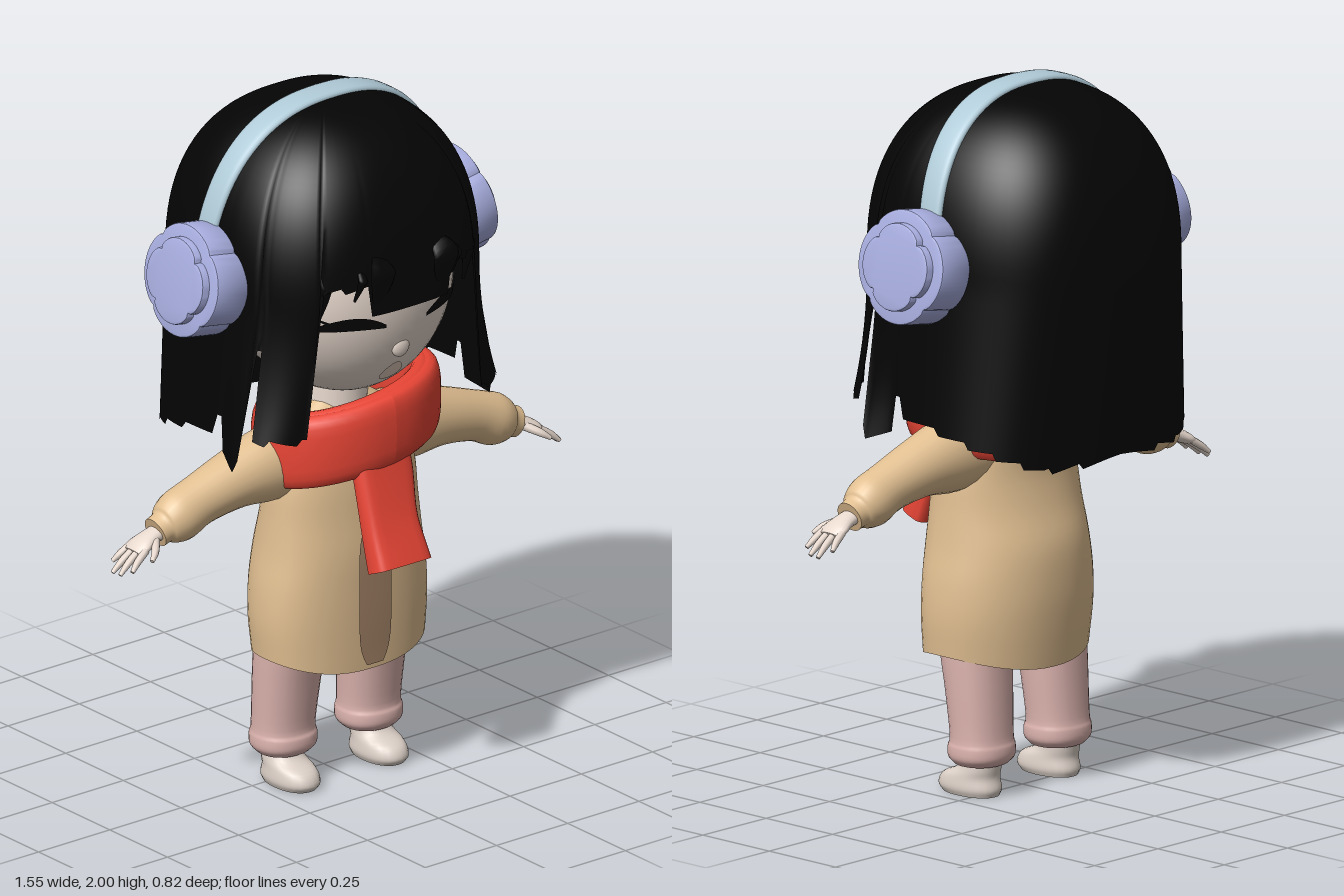
import * as THREE from 'three';
import { toCreasedNormals } from 'three/addons/utils/BufferGeometryUtils.js';

const mat = (name, color, double) => {
  const m = new THREE.MeshStandardMaterial({ color });
  m.name = name;
  if (double) m.side = THREE.DoubleSide;
  return m;
};
const sp = (v, e) => Math.sign(v) * Math.abs(v) ** e;

// Surface through a list of rings (each a list of [x, y, z]), optionally capped
function loft(rings, capped = true) {
  const n = rings[0].length, pos = rings.flat(2), idx = [];
  for (let i = 0; i < rings.length - 1; i++) for (let j = 0; j < n; j++) {
    const k = (j + 1) % n, a = i * n, b = a + n;
    idx.push(a + j, a + k, b + k, a + j, b + k, b + j);
  }
  if (capped) [rings[0], rings[rings.length - 1]].forEach((ring, end) => {
    const base = pos.length / 3;
    const c = [0, 1, 2].map(k => ring.reduce((s, p) => s + p[k], 0) / n);
    pos.push(...ring.flat(), ...c);
    for (let j = 0; j < n; j++) {
      const k = (j + 1) % n;
      idx.push(base + n, base + (end ? j : k), base + (end ? k : j));
    }
  });
  const g = new THREE.BufferGeometry();
  g.setAttribute('position', new THREE.Float32BufferAttribute(pos, 3));
  g.setIndex(idx);
  g.computeVertexNormals();
  return g;
}

// Smoothly resample rows of numbers
function smooth(rows, k = 4) {
  const w = rows[0].length;
  const f = new THREE.CubicInterpolant(rows.map((_, i) => i), rows.flat(), w, new Float32Array(w));
  return Array.from({ length: (rows.length - 1) * k + 1 }, (_, i) => Array.from(f.evaluate(i / k)));
}

// Horizontal sections [y, centre x, centre z, half width, half depth], bottom to top
const sections = (rows, n = 28, e = 1) => loft(smooth(rows).map(([y, cx, cz, w, d]) =>
  Array.from({ length: n }, (_, j) => {
    const a = j / n * Math.PI * 2;
    return [cx + w * sp(Math.sin(a), e), y, cz + d * sp(Math.cos(a), e)];
  })));

// Sweep along points [x, y, z, radius across, radius in z]
function sweep(points, n = 16, e = 1, k = 4) {
  const rows = smooth(points, k), vec = r => new THREE.Vector3(r[0], r[1], r[2]);
  return loft(rows.map((r, i) => {
    const t = vec(rows[Math.min(i + 1, rows.length - 1)]).sub(vec(rows[Math.max(i - 1, 0)])).normalize();
    const side = new THREE.Vector3(0, 0, 1).cross(t).normalize();
    const other = t.clone().cross(side);
    return Array.from({ length: n }, (_, j) => {
      const a = j / n * Math.PI * 2;
      return vec(r).addScaledVector(side, r[3] * sp(Math.cos(a), e))
        .addScaledVector(other, r[4] * sp(Math.sin(a), e)).toArray();
    });
  }));
}

// Move every vertex by a rule
function bend(g, rule) {
  const p = g.attributes.position;
  for (let i = 0; i < p.count; i++) p.setXYZ(i, ...rule(p.getX(i), p.getY(i), p.getZ(i)));
  g.computeVertexNormals();
  return g;
}

// Hair surface: dome above y = 1.5, below it a fall whose side locks flare outward
const hairSize = y => {
  const u = Math.min(1, Math.max(0, (y - 1.5) / 0.485));
  const s = Math.max(0, (1.5 - y) / 0.45), k = (1 - u ** 2.4) ** (1 / 2.4);
  return [k * (0.4 + 0.03 * s), k * (0.387 - 0.045 * s), k * (0.41 - 0.035 * s), s];
};
const hairPoint = (a, y) => {
  const [w, f, b, s] = hairSize(y), c = Math.cos(a);
  const e = c > 0 ? 0.78 : 0.8 - 0.07 * s;
  const lock = Math.max(0, Math.sin((Math.acos(c) - 0.52) / 0.87 * Math.PI));
  const flare = c > 0.17 && c < 0.87 ? 1 + 0.16 * s * s * lock : 1;
  return [flare * w * sp(Math.sin(a), e), y, flare * (c > 0 ? f : b) * sp(c, e)];
};
// Lower edge of the hair by angle from the front
const hairEdge = deg => {
  const a = deg > 180 ? 360 - deg : deg;
  const tooth = 0.02 * ((a % 14) / 14);
  if (a < 16) return 1.475;
  if (a < 37) return 1.57 - tooth;
  if (a < 64) return 1.12 + tooth;
  if (a < 68) return 1.38;
  if (a < 82) return 1.03 + tooth * 2;
  if (a < 85) return 1.16;
  return 1.1 - 0.12 * Math.min(1, (a - 85) / 65) + tooth;
};

// Coat rows: y, half width, front z, back z; flatter in front, rounder behind
const coatRows = [
  [0.4, 0.262, 0.22, -0.125], [0.5, 0.27, 0.222, -0.14], [0.6, 0.265, 0.222, -0.143],
  [0.7, 0.25, 0.22, -0.135], [0.8, 0.24, 0.21, -0.105], [0.9, 0.232, 0.2, -0.085],
  [1.0, 0.205, 0.18, -0.085], [1.07, 0.16, 0.15, -0.065], [1.12, 0.09, 0.11, -0.02]];
const coatSize = new THREE.CubicInterpolant(coatRows.map(r => r[0]),
  coatRows.flatMap(r => r.slice(1)), 3, new Float32Array(3));
const COAT_Z = 0.07, COAT_E = 0.85;

// Face surface, flatter than a sphere
const faceZ = (x, y) =>
  0.05 + 0.315 * Math.max(0, 1 - (x / 0.31) ** 2 - ((y - 1.5) / 0.35) ** 2) ** 0.4;

export function createModel() {
  const skin = mat('skin', 0xeadbd0), coat = mat('coat', 0xe2c092, true), trousers = mat('trousers', 0xdcb3ae);
  const red = mat('scarf red', 0xe84535), blue = mat('band blue', 0xb0cbd8), lilac = mat('muff lilac', 0xaab0e2);
  const shoeMat = mat('shoe', 0xddd1c8), black = mat('hair black', 0x040404, true);
  const brown = mat('coat stripe', 0xa8876a, true), lip = mat('mouth', 0xe6d0c0, true);
  const model = new THREE.Group();
  model.name = 'girl';
  const add = (name, g, m, parent = model) => {
    const mesh = new THREE.Mesh(g, m);
    mesh.name = name;
    parent.add(mesh);
    return mesh;
  };

  // Head and face
  add('head', bend(new THREE.SphereGeometry(1, 48, 36), (x, y, z) =>
    [x * 0.31, 1.5 + y * 0.35, 0.05 + 0.315 * sp(z, 0.8)]), skin);
  add('nose', new THREE.SphereGeometry(1, 16, 10).scale(0.03, 0.03, 0.014)
    .translate(0, 1.34, faceZ(0, 1.34) - 0.004), skin);
  add('neck', new THREE.CylinderGeometry(0.09, 0.1, 0.2, 20).translate(0, 1.14, 0.04), skin);
  add('mouth', bend(new THREE.CircleGeometry(1, 24), (u, v) => {
    const x = u * (0.035 - 0.01 * v), y = 1.258 + v * 0.032;
    return [x, y, faceZ(x, y) + 0.005];
  }), lip);

  // Hair shell, built from the lower edge up to the crown
  const rows = 36, cols = 180;
  add('hair', loft(Array.from({ length: rows + 1 }, (_, i) =>
    Array.from({ length: cols }, (_, j) => {
      const deg = j * 360 / cols, t = 1 - i / rows;
      return hairPoint(deg * Math.PI / 180, 1.985 - (1.985 - hairEdge(deg)) * t * t);
    })), false), black);

  // Headband following the dome
  add('headband', sweep(Array.from({ length: 25 }, (_, i) => {
    const t = (i - 12) / 12, y = 1.985 - 0.4 * t * t;
    return [Math.sign(t) * hairSize(y)[0], y, 0.003 - 0.035 * t * t, 0.014, 0.045 - 0.008 * t * t];
  }), 16, 0.7, 3), blue);

  // Coat with a curved hem, and its front stripe
  add('coat', loft(smooth(coatRows).map(([y, w, f, b]) =>
    Array.from({ length: 48 }, (_, j) => {
      const a = j / 48 * Math.PI * 2, c = Math.cos(a), e = c > 0 ? COAT_E : 0.95;
      const drop = 0.045 * c * c * Math.max(0, (0.5 - y) / 0.1);
      return [w * sp(Math.sin(a), e), y - drop, COAT_Z + (c > 0 ? f - COAT_Z : COAT_Z - b) * sp(c, e)];
    })), false), coat);
  add('coatStripe', bend(new THREE.PlaneGeometry(2, 2, 6, 20), (u, v) => {
    const y = 0.575 + v * 0.205, x = u * 0.056 * (1 - 0.5 * Math.abs(v) ** 5);
    const [w, f] = coatSize.evaluate(Math.max(0.4, y));
    return [x, y, COAT_Z + (f - COAT_Z) * (1 - Math.abs(x / w) ** (2 / COAT_E)) ** (COAT_E / 2) + 0.005];
  }), brown);

  // Scarf: two overlapping wraps and a hanging end
  [[0.247, 0.185, 1.05, 0.038, 0.105], [0.228, 0.165, 1.07, 0.035, 0.088]].forEach(([rx, rz, y0, tilt, h], w) => {
    add('scarfWrap' + (w + 1), loft(Array.from({ length: 49 }, (_, i) => {
      const p = i / 48 * Math.PI * 2, s = Math.sin(p), c = Math.cos(p);
      return Array.from({ length: 20 }, (_, j) => {
        const q = j / 20 * Math.PI * 2, r = 0.036 * sp(Math.cos(q), 0.7);
        return [0.014 + s * (rx + r), y0 + tilt * s + 0.02 * c - h * sp(Math.sin(q), 0.7), 0.08 + c * (rz + r)];
      });
    }), false), red);
  });
  add('scarfEnd', sweep([
    [0, 1.02, 0.24, 0.09, 0.03], [-0.005, 0.94, 0.265, 0.095, 0.03],
    [-0.02, 0.82, 0.31, 0.088, 0.035], [-0.022, 0.705, 0.358, 0.094, 0.045]], 20, 0.5), red);

  // Four-lobed muff outlines
  const flower = (r, lobe, depth) => {
    const pts = Array.from({ length: 80 }, (_, i) => {
      const a = i / 80 * Math.PI * 2, q = r + lobe * Math.sqrt(Math.abs(Math.cos(2 * a)));
      return new THREE.Vector2(q * Math.cos(a), q * Math.sin(a));
    });
    return toCreasedNormals(new THREE.ExtrudeGeometry(new THREE.Shape(pts), {
      depth, bevelEnabled: true, bevelSize: 0.006, bevelThickness: 0.006, bevelSegments: 2, bevelOffset: -0.006
    }), 0.5);
  };

  // Paired parts
  for (const s of [1, -1]) {
    const half = new THREE.Group();
    half.name = s > 0 ? 'leftParts' : 'rightParts';
    half.scale.x = s;
    model.add(half);

    // Closed eye with an outer flick
    add('eyelash', bend(new THREE.PlaneGeometry(2, 2, 14, 1), (u, v) => {
      const x = 0.162 + u * 0.092, arc = 1 - u * u;
      const y = 1.425 + 0.018 * arc + v * (0.005 + 0.014 * arc);
      return [x, y, faceZ(x, y) + 0.007];
    }), black, half);
    add('lashFlick', bend(new THREE.PlaneGeometry(2, 2, 6, 1), (u, v) => {
      const x = 0.225 + u * 0.035, y = 1.45 + u * 0.02 + v * 0.009 * (1 - u) / 2;
      return [x, y, faceZ(x, y) + 0.007];
    }), black, half);

    // Loose fringe strands
    for (const [x, top, low, z, r] of [[0.11, 1.65, 1.475, 0.375, 0.042], [0.165, 1.63, 1.52, 0.355, 0.015],
      [0.25, 1.62, 1.46, 0.3, 0.02]])
      add('fringeStrand', sweep([[x - 0.01, top, z - 0.02, r * 0.4, 0.003], [x, top - 0.04, z + 0.02, r, 0.008],
        [x, (top + low) / 2, z + 0.015, r * 0.85, 0.008], [x + 0.005, low, z - 0.01, 0.004, 0.004]], 10), black, half);

    // Earmuff, tilted upward
    const muff = new THREE.Group();
    muff.name = 'earmuff';
    muff.position.set(0.39, 1.535, -0.01);
    muff.rotation.z = 0.17;
    half.add(muff);
    add('muffBody', flower(0.145, 0.014, 0.098), lilac, muff).rotation.y = Math.PI / 2;
    add('muffPlate', flower(0.102, 0.02, 0.122), lilac, muff).rotation.y = Math.PI / 2;

    // Sleeve and hand
    add('sleeve', sweep([
      [0.1, 0.98, 0.05, 0.095, 0.1], [0.24, 0.965, 0.05, 0.105, 0.092], [0.36, 0.95, 0.05, 0.083, 0.08],
      [0.48, 0.92, 0.05, 0.071, 0.068], [0.55, 0.892, 0.05, 0.074, 0.068], [0.59, 0.877, 0.05, 0.06, 0.057],
      [0.605, 0.872, 0.05, 0.046, 0.046], [0.63, 0.863, 0.05, 0.044, 0.043]], 24), coat, half);
    add('palm', sweep([[0.6, 0.868, 0.05, 0.024, 0.028], [0.65, 0.855, 0.05, 0.02, 0.032],
      [0.685, 0.84, 0.05, 0.017, 0.042], [0.71, 0.826, 0.05, 0.01, 0.036]]), skin, half);
    for (let k = 0; k < 4; k++) {
      const z = 0.02 + 0.021 * k, tip = 0.005 + 0.031 * k, len = [0.055, 0.08, 0.078, 0.06][k];
      add('finger', sweep([[0.69, 0.836, z, 0.011, 0.011], [0.69 + len * 0.6, 0.836 - len * 0.4, (z + tip) / 2, 0.01, 0.01],
        [0.69 + len, 0.836 - len * 0.75, tip, 0.006, 0.006]], 8), skin, half);
    }
    add('thumb', sweep([[0.645, 0.853, 0.07, 0.013, 0.012], [0.675, 0.836, 0.105, 0.011, 0.011],
      [0.7, 0.818, 0.122, 0.006, 0.006]], 8), skin, half);

    // Trouser leg with gathered cuff, and shoe
    add('trouserLeg', sections([[0.09, 0.15, 0.01, 0.075, 0.068], [0.11, 0.15, 0.01, 0.092, 0.085],
      [0.14, 0.15, 0.01, 0.094, 0.086], [0.17, 0.15, 0.01, 0.09, 0.079], [0.3, 0.148, 0.022, 0.096, 0.085],
      [0.42, 0.146, 0.035, 0.1, 0.095], [0.52, 0.14, 0.035, 0.1, 0.1]], 28, 0.9), trousers, half);
    add('shoe', sections([[0, 0.155, 0.045, 0.055, 0.09], [0.02, 0.155, 0.048, 0.063, 0.1],
      [0.05, 0.155, 0.043, 0.06, 0.088], [0.075, 0.155, 0.015, 0.055, 0.063],
      [0.11, 0.153, 0, 0.051, 0.053]], 24, 0.9), shoeMat, half);
  }
  return model;
}
